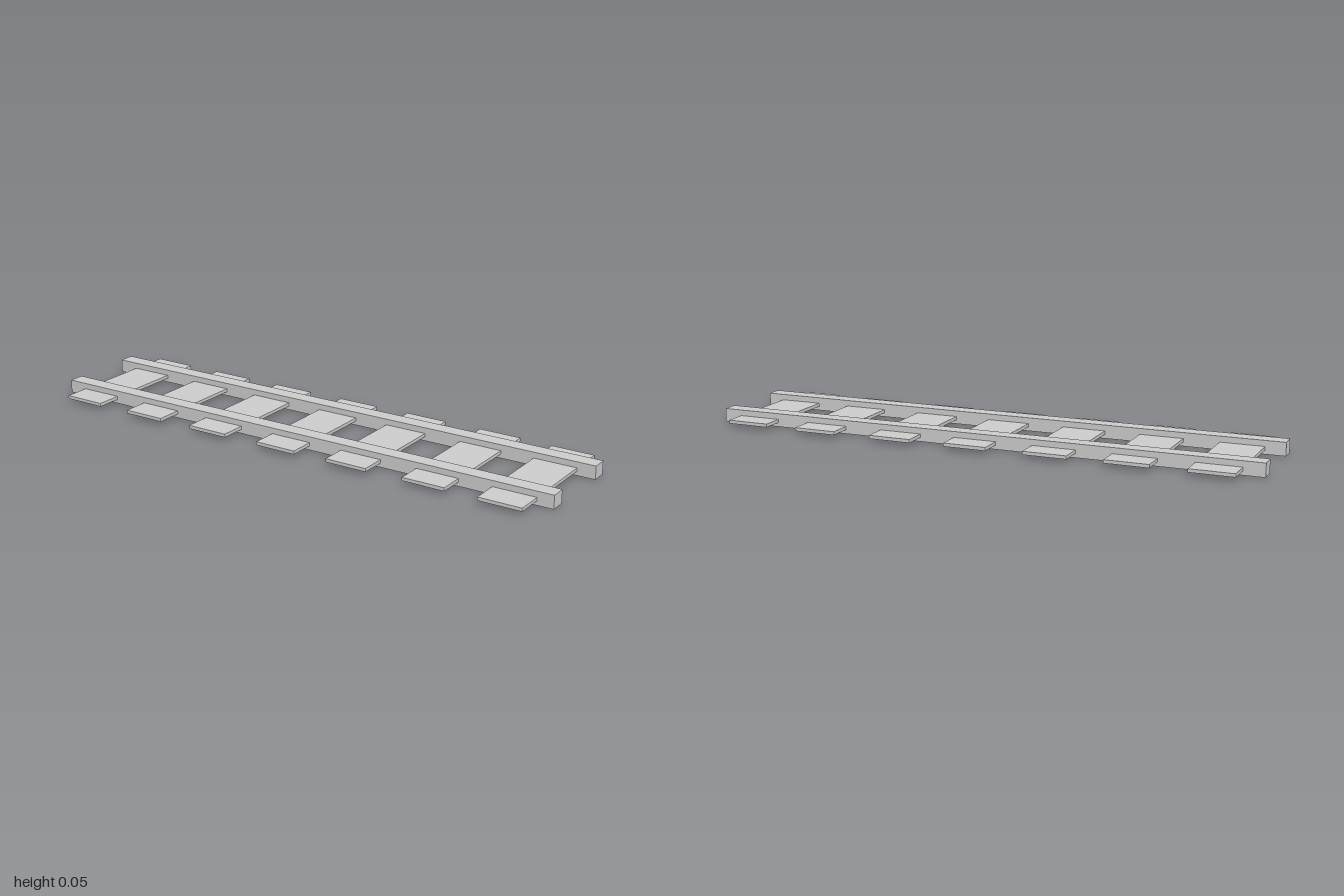
import * as THREE from 'three';

const steel = new THREE.MeshStandardMaterial({ color: 0xcccccc });
steel.name = 'light grey';

// A box laid flat, turned slightly about the vertical axis
function bar(name, size, position, turn) {
  const mesh = new THREE.Mesh(new THREE.BoxGeometry(...size), steel);
  mesh.name = name;
  mesh.position.set(...position);
  mesh.rotation.y = turn;
  return mesh;
}

export function createModel() {
  const track = new THREE.Group();
  track.name = 'railTrack';

  // Two long rails, a hair out of line with the x axis
  track.add(bar('frontRail', [1.99, 0.048, 0.057], [-0.005, 0.024, 0.1375], -0.003));
  track.add(bar('backRail', [2, 0.048, 0.057], [0, 0.024, -0.155], -0.0025));

  // Seven thin sleepers passing through the rails: [x, z] of each centre
  const sleepers = [
    [-0.85, -0.008], [-0.567, -0.005], [-0.284, -0.005], [0.004, -0.005],
    [0.286, -0.005], [0.578, -0.005], [0.855, 0.004],
  ];
  sleepers.forEach(([x, z], i) => {
    track.add(bar(`sleeper${i + 1}`, [0.156, 0.012, 0.53], [x, 0.021, z], -0.01));
  });

  return track;
}
